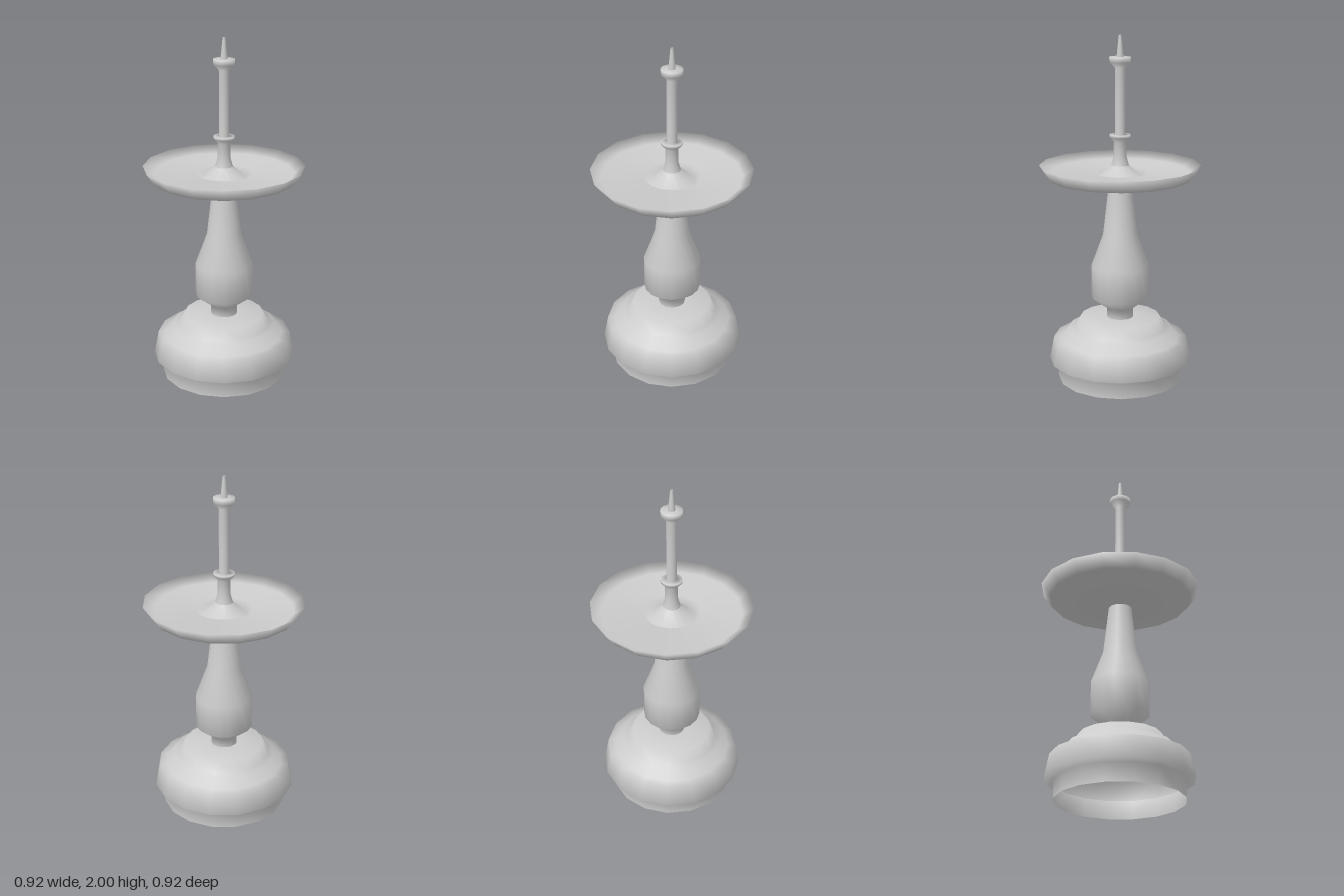
import * as THREE from 'three';

const SIDES = 16;
const material = new THREE.MeshStandardMaterial({ color: 0xcccccc, side: THREE.DoubleSide });

// Revolve a [radius, height] profile, listed from the bottom outwards and up
function turned(name, profile, sides = SIDES) {
  const points = profile.map(([r, y]) => new THREE.Vector2(r, y));
  const mesh = new THREE.Mesh(new THREE.LatheGeometry(points, sides), material);
  mesh.name = name;
  return mesh;
}

export function createModel() {
  const group = new THREE.Group();
  group.name = 'prickedCandlestick';

  group.add(
    // Hollow stepped foot, open underneath
    turned('base', [
      [0.362, 0], [0.362, 0.105], [0.413, 0.115], [0.388, 0.245],
      [0.345, 0.245], [0.3, 0.305], [0.265, 0.305], [0.232, 0.37], [0.075, 0.37],
    ]),
    // Baluster-shaped column
    turned('column', [
      [0.077, 0.37], [0.077, 0.425], [0.166, 0.49], [0.166, 0.68],
      [0.098, 0.865], [0.066, 1.15],
    ]),
    // Wide drip dish with a sunken ring and a raised centre
    turned('dish', [
      [0.066, 1.146], [0.408, 1.198], [0.46, 1.27], [0.4, 1.23],
      [0.163, 1.23], [0.135, 1.195], [0.05, 1.27],
    ]),
    // Slim shaft with a collar and a small cup
    turned('shaft', [
      [0.05, 1.27], [0.036, 1.32], [0.036, 1.405], [0.06, 1.43], [0.06, 1.445],
      [0.029, 1.445], [0.029, 1.82], [0.06, 1.85], [0.06, 1.88], [0.02, 1.88],
    ], 24),
    // Tapered pricket on top
    turned('spike', [[0.02, 1.88], [0.014, 1.94], [0.009, 1.99], [0.008, 2]], 12),
  );
  return group;
}
